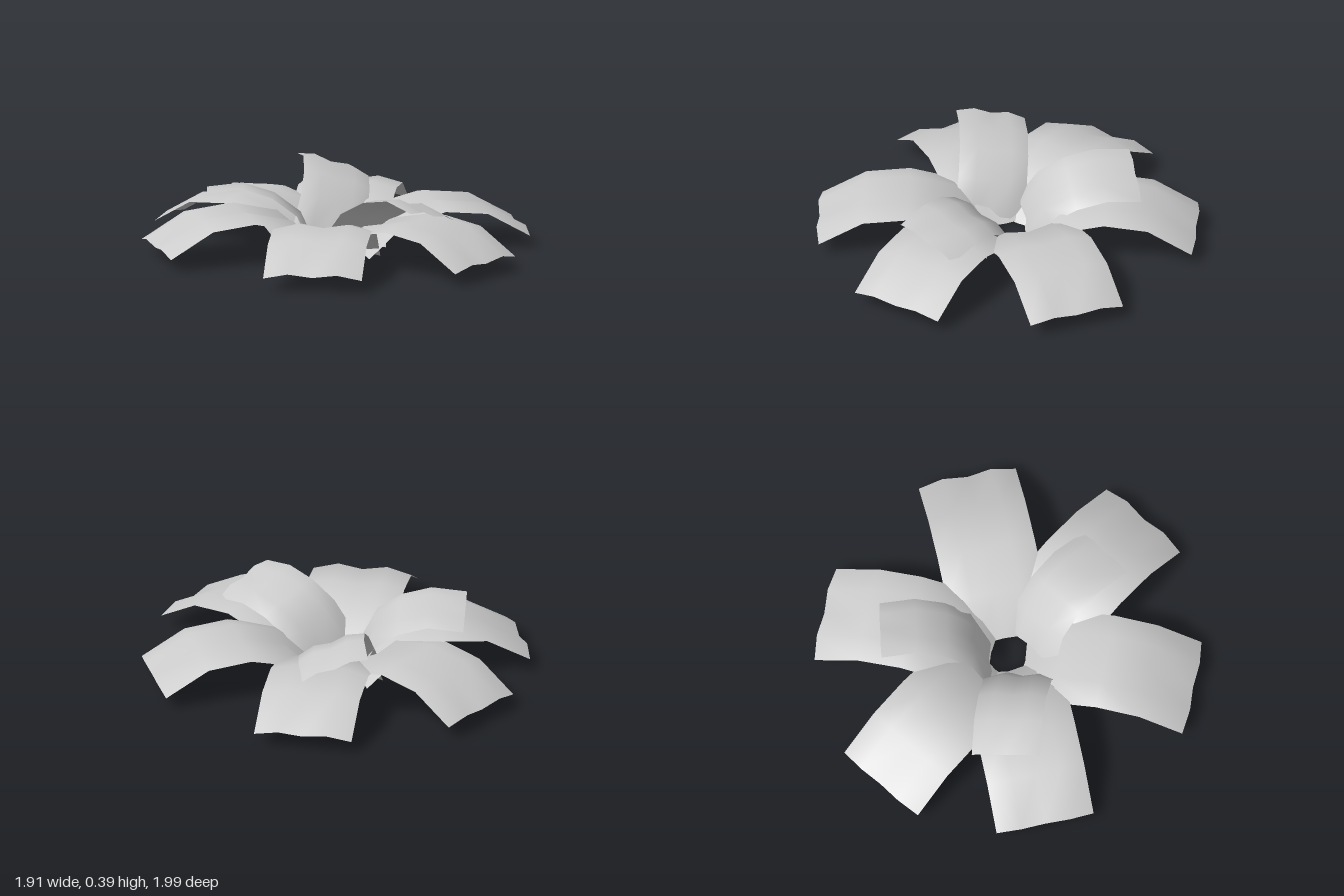
import * as THREE from 'three';

// Leaf spine as [outward, height], from the base to the drooping tip
const SPINE = [[0, 0], [0.19, 0.17], [0.41, 0.22], [0.635, 0.195], [0.86, 0.065]];
// Ripple across the leaf, pushed along the spine's normal
const RIPPLE = [0, 0.032, 0.012, 0.032, 0];
const WIDTH = 0.508;

// One leaf blade: base at the origin, growing toward +z
function leafGeometry() {
  const geo = new THREE.PlaneGeometry(WIDTH, 1, 4, 4);
  const pos = geo.attributes.position;
  for (let row = 0; row < 5; row++) {
    const a = SPINE[Math.max(row - 1, 0)], b = SPINE[Math.min(row + 1, 4)];
    const len = Math.hypot(b[0] - a[0], b[1] - a[1]);
    const nz = -(b[1] - a[1]) / len, ny = (b[0] - a[0]) / len;
    for (let col = 0; col < 5; col++) {
      const i = row * 5 + col, d = RIPPLE[col];
      pos.setXYZ(i, pos.getX(i), SPINE[row][1] + ny * d, SPINE[row][0] + nz * d);
    }
  }
  geo.computeVertexNormals();
  return geo;
}

export function createModel() {
  const group = new THREE.Group();
  group.name = 'leafRosette';
  const geo = leafGeometry();
  const material = new THREE.MeshStandardMaterial({ color: 0xcccccc, side: THREE.DoubleSide });

  function addLeaf(name, scale, base, yaw, pitch = 0, roll = 0) {
    const leaf = new THREE.Mesh(geo, material);
    const rad = THREE.MathUtils.degToRad;
    leaf.name = name;
    leaf.scale.setScalar(scale);
    leaf.position.set(...base);
    leaf.rotation.set(-rad(pitch), rad(yaw), rad(roll), 'YXZ');
    group.add(leaf);
  }

  // Outer ring of six low leaves: tip centre x, z and heading
  const outer = [
    [-0.035, 0.98, 0], [0.785, 0.545, 54.7], [0.825, -0.49, 119.6],
    [-0.005, -0.98, 180], [-0.77, -0.575, 234.6], [-0.83, 0.475, 301.1],
  ];
  outer.forEach(([x, z, yaw], i) => {
    const t = THREE.MathUtils.degToRad(yaw);
    addLeaf(`outerLeaf${i + 1}`, 1, [x - 0.86 * Math.sin(t), 0, z - 0.86 * Math.cos(t)], yaw);
  });

  // Inner ring of three smaller, raised and twisted leaves
  addLeaf('innerLeafFront', 0.7, [-0.07, 0.055, 0.1], 0, 17, -17);
  addLeaf('innerLeafBackLeft', 0.7, [0.05, 0.06, -0.11], 127, 20, 20);
  addLeaf('innerLeafBackRight', 0.7, [-0.15, 0.04, -0.05], 213, 23, 11);

  return group;
}
